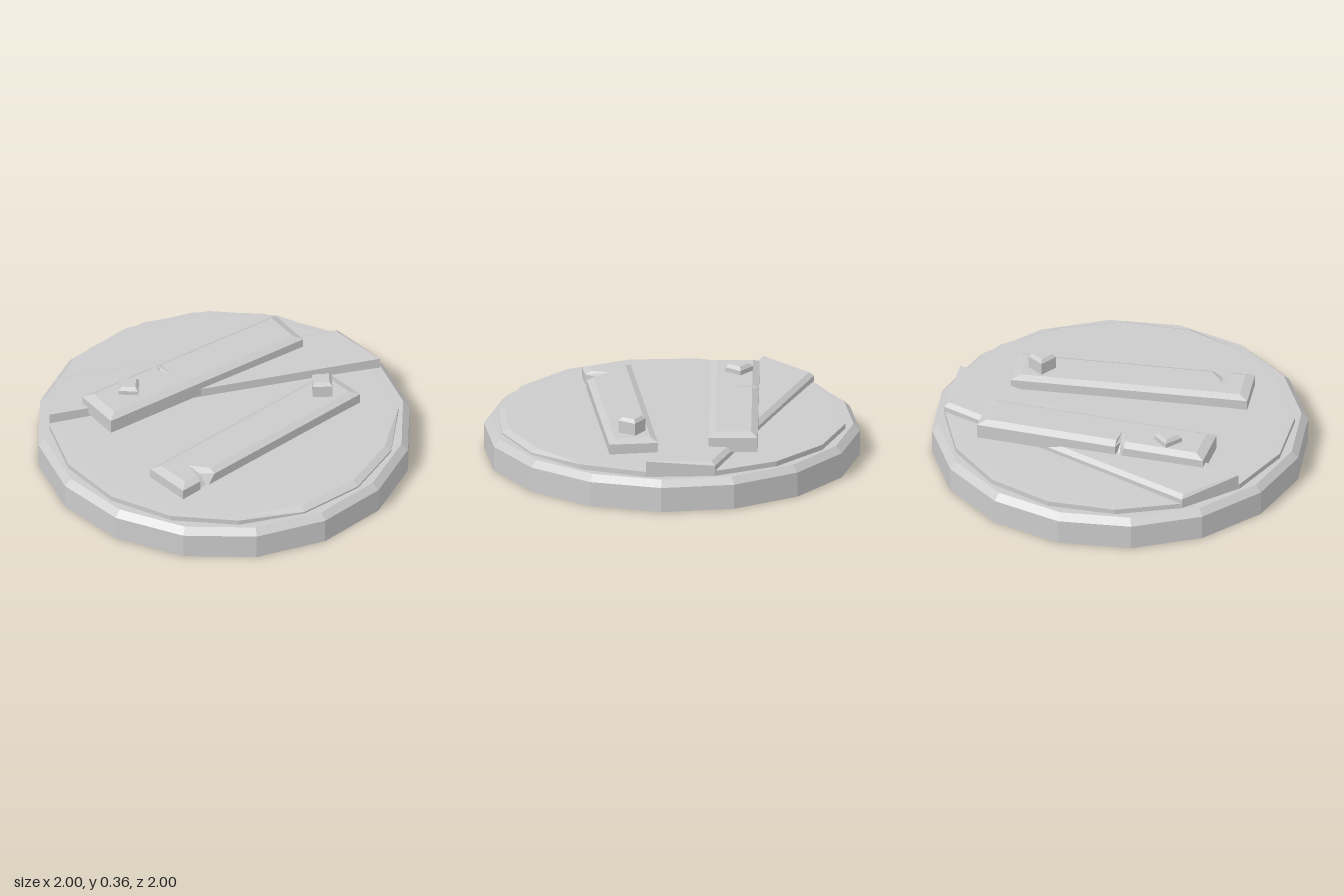
import * as THREE from 'three';

const material = new THREE.MeshStandardMaterial({ color: 0xcccccc, flatShading: true });

function addMesh(parent, name, geometry) {
  const mesh = new THREE.Mesh(geometry, material);
  mesh.name = name;
  parent.add(mesh);
  return mesh;
}

// Closed solid from stacked rings of [x, y, z], counter-clockwise seen from above
function solid(rings) {
  const n = rings[0].length;
  const index = [];
  for (let r = 0; r < rings.length - 1; r++) {
    for (let i = 0; i < n; i++) {
      const a = r * n + i, b = r * n + (i + 1) % n;
      index.push(a, b, b + n, a, b + n, a + n);
    }
  }
  const cap = (ring) => THREE.ShapeUtils.triangulateShape(ring.map(([x, , z]) => new THREE.Vector2(x, -z)), []);
  const last = (rings.length - 1) * n;
  cap(rings[0]).forEach(([a, b, c]) => index.push(a, c, b));
  cap(rings[rings.length - 1]).forEach(([a, b, c]) => index.push(last + a, last + b, last + c));
  const geometry = new THREE.BufferGeometry();
  geometry.setAttribute('position', new THREE.Float32BufferAttribute(rings.flat(2), 3));
  geometry.setIndex(index);
  const flat = geometry.toNonIndexed();
  flat.computeVertexNormals();
  return flat;
}

// Bevelled plank with a V-shaped split; side is +1 for its front edge, -1 for its back edge
function plankGeometry(length, width, height, notch) {
  const levels = [[0, 0, 0], [height * 0.78, 0, 0.4], [height, 0.035, 1]];
  return solid(levels.map(([y, inset, k]) => {
    const l = length / 2 - inset * 1.3, w = width / 2 - inset;
    const edge = notch.side * w;
    const split = [
      [notch.u - notch.side * notch.half, y, edge],
      [notch.u + notch.lean * k, y, edge * (1 - k)],
      [notch.u + notch.side * notch.half, y, edge],
    ];
    return [
      [-l, y, w], ...(notch.side > 0 ? split : []), [l, y, w],
      [l, y, -w], ...(notch.side < 0 ? split : []), [-l, y, -w],
    ];
  }));
}

// Square nail head with a chamfered top
function nailGeometry(height) {
  const square = (y, s) => [[-s, y, s], [s, y, s], [s, y, -s], [-s, y, -s]];
  return solid([square(0, 0.052), square(height - 0.018, 0.052), square(height, 0.037)]);
}

function lathe(profile, degrees) {
  const points = profile.map(([r, y]) => new THREE.Vector2(r, y));
  return new THREE.LatheGeometry(points, 16, THREE.MathUtils.degToRad(degrees));
}

export function createModel() {
  const group = new THREE.Group();
  group.name = 'woodenLid';

  // Outer rim, hollowed underneath
  addMesh(group, 'rim', lathe([
    [0, 0.055], [0.89, 0.055], [0.9, 0], [1, 0], [1, 0.135], [0.965, 0.17], [0.88, 0.17],
  ], -2.3));

  // Slightly domed top, chipped along its front left edge
  const top = lathe([[0.93, 0.165], [0.93, 0.198], [0.895, 0.2], [0.6, 0.206], [0, 0.208]], -7.4);
  const p = top.attributes.position;
  for (let i = 0; i < p.count; i++) {
    const x = p.getX(i), z = p.getZ(i);
    if (Math.hypot(x, z) > 0.92 && x + z > 1.05 && p.getY(i) > 0.19) p.setY(i, 0.18);
  }
  addMesh(group, 'topBoards', top);

  // Broad board raised across the top
  addMesh(group, 'broadBoard', solid([
    [[-0.92, 0.18, -0.13], [0.9, 0.18, -0.24], [0.74, 0.18, -0.57], [-0.81, 0.18, -0.47]],
    [[-0.92, 0.257, -0.13], [0.9, 0.257, -0.24], [0.74, 0.228, -0.57], [-0.81, 0.228, -0.47]],
    [[-0.915, 0.258, -0.135], [0.895, 0.258, -0.242], [0.725, 0.247, -0.543], [-0.8, 0.247, -0.445]],
  ]));

  // Two diagonal planks
  const planks = [
    ['backPlank', 1.25, 0.1, -0.1, 0.22, -0.316, 23,
      { side: -1, u: -0.163, half: 0.025, lean: 0.02 }],
    ['frontPlank', 1.27, 0.085, 0.115, 0.192, 0.25, 30,
      { side: 1, u: -0.46, half: 0.05, lean: -0.02 }],
  ];
  for (const [name, length, height, x, y, z, angle, notch] of planks) {
    const plank = addMesh(group, name, plankGeometry(length, 0.26, height, notch));
    plank.position.set(x, y, z);
    plank.rotation.y = THREE.MathUtils.degToRad(angle);
  }

  // Nail heads
  for (const [name, x, y, z, angle] of [
    ['backNail', -0.478, 0.3, -0.18, -15],
    ['frontNail', 0.533, 0.25, 0, -9],
  ]) {
    const nail = addMesh(group, name, nailGeometry(0.362 - y));
    nail.position.set(x, y, z);
    nail.rotation.y = THREE.MathUtils.degToRad(angle);
  }

  return group;
}
